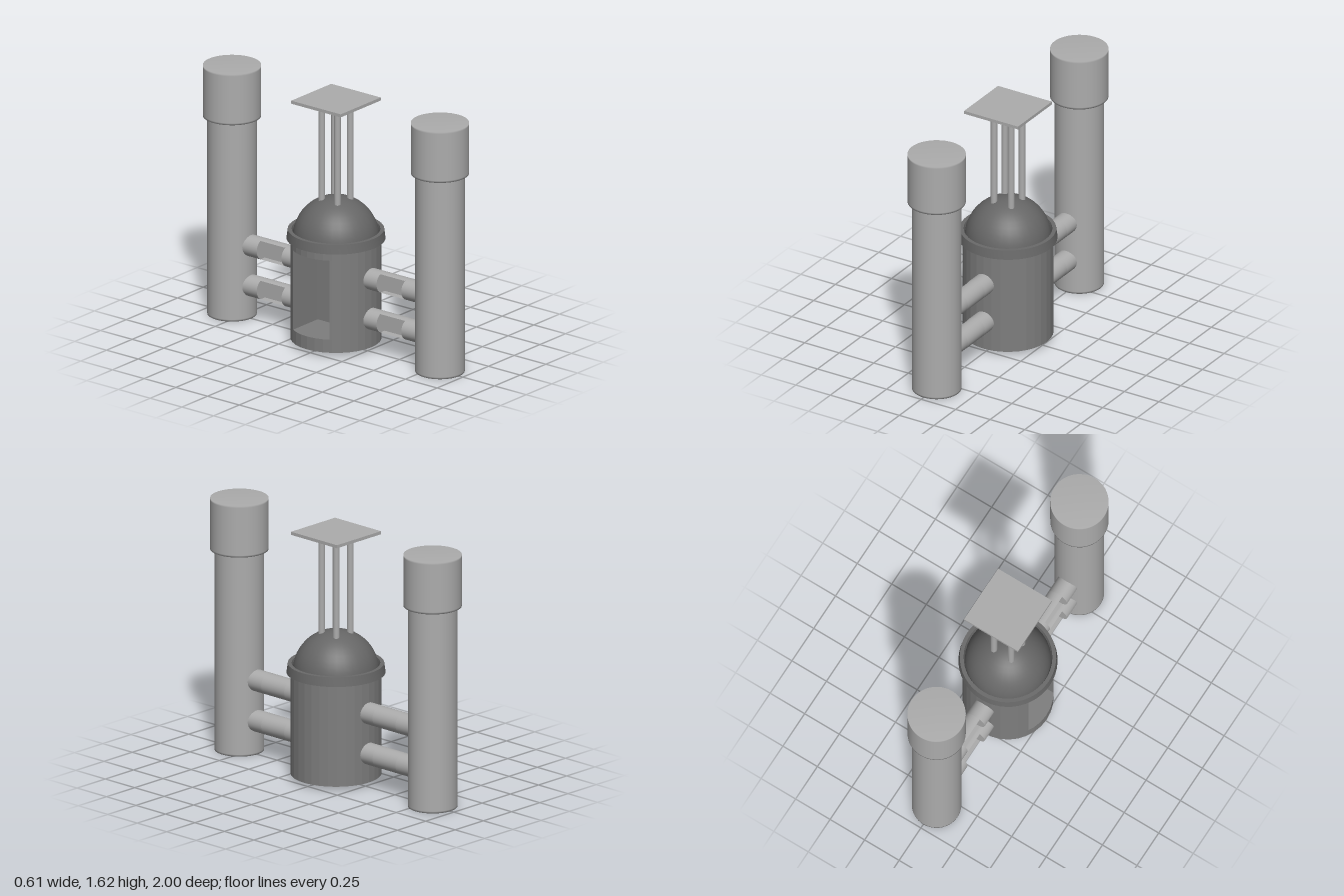
import * as THREE from 'three';
import { toCreasedNormals } from 'three/addons/utils/BufferGeometryUtils.js';

const grey = (color) => new THREE.MeshStandardMaterial({ color });
const light = grey(0xacacac);
const dark = grey(0x7e7e7e);
const darkest = grey(0x666666);
const collarGrey = grey(0x6a6a6a);
collarGrey.side = THREE.DoubleSide;

function add(parent, name, geometry, material, x = 0, y = 0, z = 0) {
  const mesh = new THREE.Mesh(geometry, material);
  mesh.name = name;
  mesh.position.set(x, y, z);
  parent.add(mesh);
}

// Round section of radius r; with a notch of half width w cut from -x to x = depth
function section(r, w = 0, depth = 0, segments = 32) {
  const limit = Math.PI - Math.asin(w / r);
  const angles = w ? [-limit] : [];
  for (let i = 0; i < segments; i++) {
    const a = -Math.PI + (i * 2 * Math.PI) / segments;
    if (!w || Math.abs(a) < limit - 0.01) angles.push(a);
  }
  if (w) angles.push(limit);
  const points = angles.map((a) => new THREE.Vector2(r * Math.cos(a), r * Math.sin(a)));
  if (w) points.push(new THREE.Vector2(depth, w), new THREE.Vector2(depth, -w));
  return new THREE.Shape(points);
}

// Solid round bar along z with a window in its -x side between z1 and z2
function windowedBar(name, material, r, w, depth, z0, z1, z2, z3, crease) {
  const bar = new THREE.Group();
  bar.name = name;
  const piece = (label, shape, from, to) => {
    const g = new THREE.ExtrudeGeometry(shape, { depth: to - from, bevelEnabled: false });
    add(bar, label, toCreasedNormals(g, crease), material, 0, 0, from);
  };
  piece('startSection', section(r), z0, z1);
  piece('windowSection', section(r, w, depth), z1, z2);
  piece('endSection', section(r), z2, z3);
  return bar;
}

function lathe(points) {
  return new THREE.LatheGeometry(points.map(([x, y]) => new THREE.Vector2(x, y)), 48);
}

// Closed drum whose shading rolls softly over the rims
function softDrum(r, bottom, top) {
  const roll = 0.012;
  return lathe([[0, bottom], [r, bottom], [r, bottom + roll], [r, top - roll], [r, top], [0, top]]);
}

export function createModel() {
  const model = new THREE.Group();
  model.name = 'towerStation';

  // Central body with a doorway on its right side
  const body = windowedBar('body', dark, 0.28, 0.144, 0, 0.03, 0.115, 0.63, 0.68, 0.1);
  body.rotation.x = -Math.PI / 2;
  model.add(body);

  // Collar and dome
  const collar = lathe([[0.25, 0.68], [0.304, 0.68], [0.296, 0.74], [0.272, 0.74], [0.262, 0.7]]);
  add(model, 'collar', toCreasedNormals(collar, 0.5), collarGrey);
  const dome = new THREE.SphereGeometry(0.266, 32, 12, 0, Math.PI * 2, 0, Math.PI / 2);
  add(model, 'dome', dome, darkest, 0, 0.685, 0);

  // Roof plate on four posts
  for (const x of [-0.062, 0.062]) {
    for (const z of [-0.062, 0.062]) {
      add(model, 'post', new THREE.CylinderGeometry(0.021, 0.021, 0.7, 16), light, x, 1.22, z);
    }
  }
  add(model, 'roofPlate', new THREE.BoxGeometry(0.39, 0.02, 0.39), light, 0, 1.574, 0);

  // Front and back towers, each tied to the body by two windowed pipes
  for (const side of [1, -1]) {
    const z = 0.82 * side;
    add(model, 'tower', softDrum(0.152, 0, 1.3), light, 0, 0, z);
    add(model, 'towerCap', softDrum(0.179, 1.29, 1.62), light, 0, 0, z);
    for (const y of [0.217, 0.477]) {
      const cuts = side > 0 ? [0.2, 0.375, 0.57, 0.75] : [-0.75, -0.57, -0.375, -0.2];
      const pipe = windowedBar('connectingPipe', light, 0.068, 0.06, 0.01, ...cuts, 0.3);
      pipe.position.y = y;
      model.add(pipe);
    }
  }
  return model;
}
